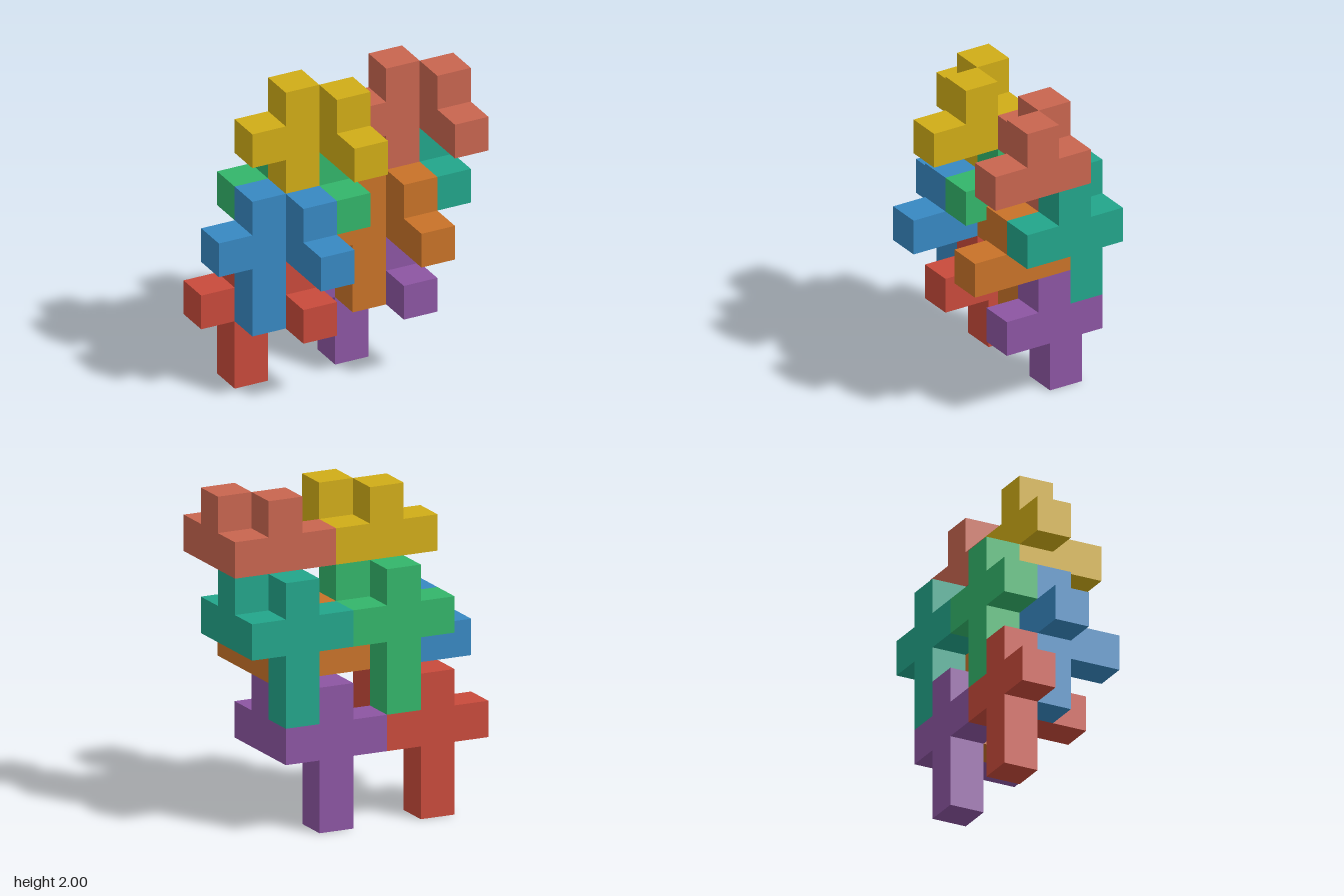
import * as THREE from 'three';
import { mergeGeometries } from 'three/addons/utils/BufferGeometryUtils.js';

const U = 2 / 9; // edge of one cube

// Extrude an outline given in cube units by one cube
function slab(points) {
  const shape = new THREE.Shape(points.map(([x, y]) => new THREE.Vector2(x, y)));
  return new THREE.ExtrudeGeometry(shape, { depth: 1, bevelEnabled: false });
}

// One interlocking piece: an upright cross with a stepped arm reaching forward
function pieceGeometry() {
  const cross = slab([
    [0, 0], [1, 0], [1, 2], [2, 2], [2, 3], [1, 3],
    [1, 4], [0, 4], [0, 3], [-1, 3], [-1, 2], [0, 2],
  ]);
  // Side profile (z, y), turned so that it runs forward from the cross's left arm
  const arm = slab([[1, 2], [3, 2], [3, 3], [2, 3], [2, 4], [1, 4]])
    .rotateY(-Math.PI / 2)
    .translate(2, 0, 0);
  return mergeGeometries([cross, arm]).scale(U, U, U);
}

export function createModel() {
  const model = new THREE.Group();
  model.name = 'interlockingCubePieces';
  const geometry = pieceGeometry();

  // Each piece: name, colour, grid cell of the foot of its column
  const pieces = [
    ['redPiece', 0xc84a3b, 1, 0, 0],
    ['purplePiece', 0x8c55a2, 4, 0, 0],
    ['bluePiece', 0x3788c2, 1, 2, 1],
    ['orangePiece', 0xc87228, 4, 2, 1],
    ['greenPiece', 0x33b56a, 2, 3, 0],
    ['tealPiece', 0x22a58a, 5, 3, 0],
    ['yellowPiece', 0xd0ac17, 2, 5, 1],
    ['salmonPiece', 0xc8654f, 5, 5, 1],
  ];
  for (const [name, color, i, j, k] of pieces) {
    const mesh = new THREE.Mesh(geometry, new THREE.MeshStandardMaterial({ color }));
    mesh.name = name;
    mesh.position.set((i - 3.5) * U, j * U, (k - 2) * U);
    model.add(mesh);
  }
  return model;
}
